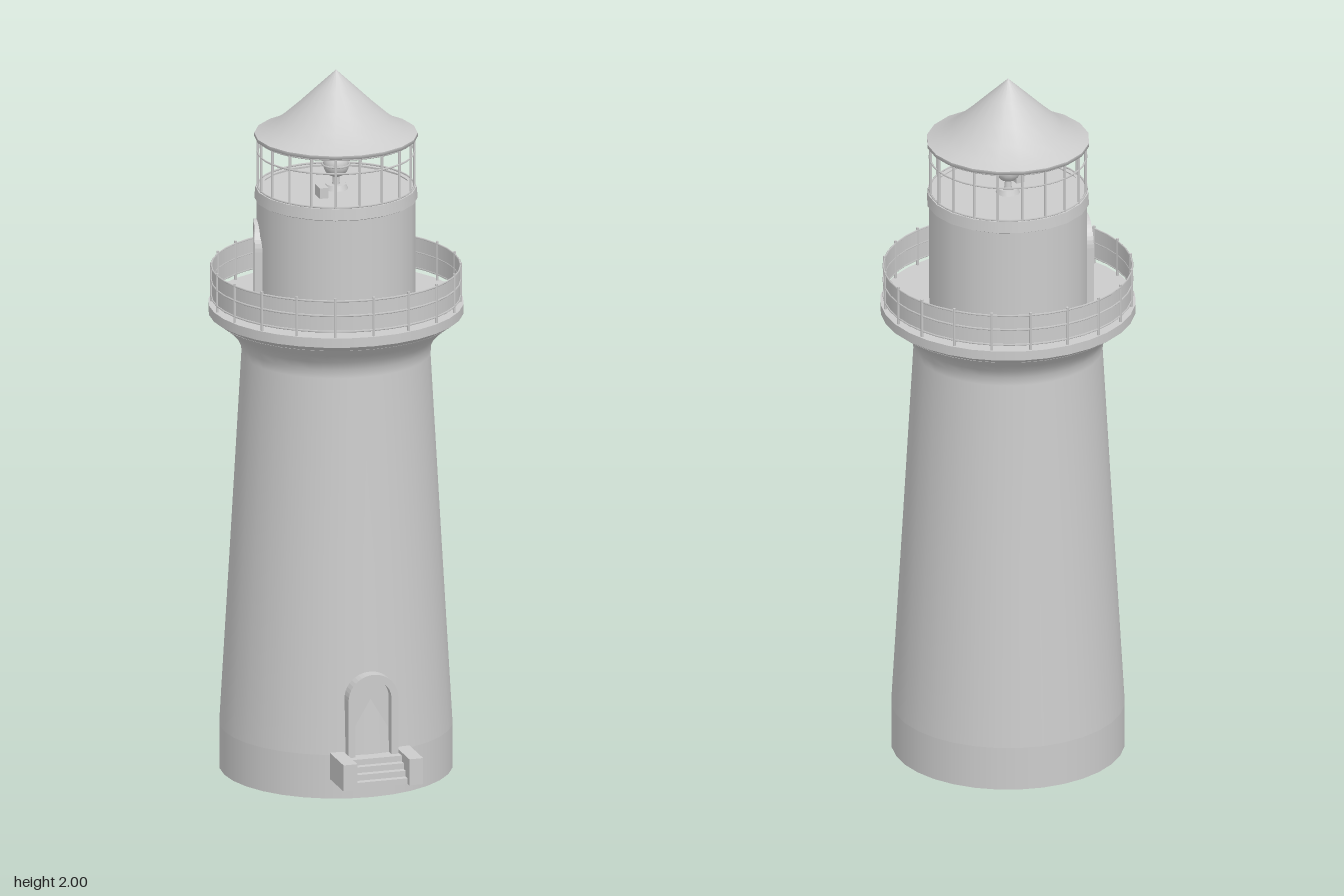
import * as THREE from 'three';

const mat = new THREE.MeshStandardMaterial({ color: 0xcccccc, side: THREE.DoubleSide });
const SIDES = 20;

function add(parent, name, geometry, x = 0, y = 0, z = 0) {
  const mesh = new THREE.Mesh(geometry, mat);
  mesh.name = name;
  mesh.position.set(x, y, z);
  parent.add(mesh);
  return mesh;
}

// Surface of revolution from [radius, height] pairs
const lathe = (points, sides) =>
  new THREE.LatheGeometry(points.map(([r, y]) => new THREE.Vector2(r, y)), sides);

// Horizontal ring bar
function addRing(parent, name, radius, y, thickness) {
  const ring = add(parent, name, new THREE.TorusGeometry(radius, thickness, 4, SIDES * 2), 0, y, 0);
  ring.rotation.x = Math.PI / 2;
}

// Upright bars spaced evenly round the axis
function addBars(parent, name, radius, y0, y1, thickness, count) {
  const geometry = new THREE.CylinderGeometry(thickness, thickness, y1 - y0, 6);
  for (let i = 0; i < count; i++) {
    const a = (i / count) * Math.PI * 2;
    add(parent, name, geometry, Math.sin(a) * radius, (y0 + y1) / 2, Math.cos(a) * radius);
  }
}

// Outline of a round-topped opening standing on y = 0
function archPath(path, halfWidth, spring) {
  path.moveTo(-halfWidth, 0);
  path.lineTo(halfWidth, 0);
  path.lineTo(halfWidth, spring);
  path.absarc(0, spring, halfWidth, 0, Math.PI, false);
  path.lineTo(-halfWidth, 0);
  return path;
}

// Arched door whose frame face lies at z = 0
function buildDoor(name, depth, recess) {
  const door = new THREE.Group();
  door.name = name;
  const frame = archPath(new THREE.Shape(), 0.072, 0.165);
  frame.holes.push(archPath(new THREE.Path(), 0.052, 0.165));
  add(door, 'doorFrame', new THREE.ExtrudeGeometry(frame, { depth, bevelEnabled: false, curveSegments: 10 }), 0, 0, -depth);
  add(door, 'doorPanel', new THREE.ShapeGeometry(archPath(new THREE.Shape(), 0.053, 0.165), 10), 0, 0, -recess);
  return door;
}

export function createModel() {
  const model = new THREE.Group();
  model.name = 'lighthouse';
  const tower = new THREE.Group();
  tower.name = 'tower';
  tower.position.z = -0.04;
  model.add(tower);

  // Open plinth, tapering shaft and flared top
  add(tower, 'plinth', lathe([[0.322, 0], [0.322, 0.125]], 32));
  const floor = add(tower, 'plinthFloor', new THREE.CircleGeometry(0.32, 32), 0, 0.12, 0);
  floor.rotation.x = Math.PI / 2;
  add(tower, 'shaft', lathe([[0.322, 0.125], [0.291, 0.66], [0.261, 1.19], [0.263, 1.215],
    [0.275, 1.24], [0.295, 1.262], [0.318, 1.28], [0.33, 1.29]], 32));

  // Gallery slab
  add(tower, 'galleryUnderside', lathe([[0.328, 1.29], [0.352, 1.306]], 32));
  add(tower, 'galleryEdge', lathe([[0.352, 1.306], [0.352, 1.333]], 32));
  add(tower, 'galleryDeck', lathe([[0.352, 1.333], [0.2, 1.333]], 32));

  // Gallery railing
  const railing = new THREE.Group();
  railing.name = 'railing';
  tower.add(railing);
  addBars(railing, 'railingPost', 0.343, 1.333, 1.445, 0.004, SIDES);
  add(railing, 'railingPanel', lathe([[0.342, 1.35], [0.342, 1.435]], SIDES * 2));
  for (const y of [1.35, 1.395, 1.437]) addRing(railing, 'rail', 0.343, y, 0.003);

  // Watch room below the lantern
  add(tower, 'watchRoom', lathe([[0.219, 1.333], [0.219, 1.63]], SIDES));
  add(tower, 'watchRoomBand', lathe([[0.219, 1.63], [0.225, 1.633]], SIDES));
  add(tower, 'watchRoomRim', lathe([[0.225, 1.633], [0.222, 1.665]], SIDES));
  add(tower, 'sill', lathe([[0.222, 1.665], [0.205, 1.665]], SIDES));
  add(tower, 'lanternFloor', lathe([[0.21, 1.658], [0, 1.658]], SIDES));

  // Lantern glazing bars
  const lantern = new THREE.Group();
  lantern.name = 'lantern';
  tower.add(lantern);
  addBars(lantern, 'glazingBar', 0.216, 1.66, 1.81, 0.0035, SIDES);
  for (const y of [1.668, 1.765, 1.805]) addRing(lantern, 'glazingRing', 0.216, y, 0.003);

  // Lamp on its stand, with a hatch beside it
  add(lantern, 'lamp', new THREE.SphereGeometry(0.036, 14, 10), 0, 1.728, 0);
  addRing(lantern, 'lampBand', 0.037, 1.728, 0.003);
  add(lantern, 'lampStem', new THREE.CylinderGeometry(0.008, 0.012, 0.04, 10), 0, 1.68, 0);
  add(lantern, 'lampBase', new THREE.CylinderGeometry(0.028, 0.034, 0.014, 12), 0, 1.665, 0);
  add(lantern, 'hatch', new THREE.BoxGeometry(0.025, 0.03, 0.045), -0.06, 1.673, 0.06);

  // Roof with a curved sweep to the point
  add(tower, 'eaveUnderside', lathe([[0, 1.812], [0.215, 1.806]], SIDES));
  add(tower, 'eave', lathe([[0.215, 1.806], [0.225, 1.808], [0.225, 1.818]], SIDES));
  add(tower, 'roof', lathe([[0.225, 1.818], [0.19, 1.833], [0.15, 1.86], [0.105, 1.9],
    [0.055, 1.948], [0, 2]], SIDES));

  // Entrance door and gallery door
  const entrance = buildDoor('entranceDoor', 0.06, 0.027);
  entrance.position.set(0, 0.12, 0.3);
  model.add(entrance);
  const upper = buildDoor('galleryDoor', 0.05, 0.007);
  const angle = Math.atan2(-0.96, -0.27);
  upper.rotation.y = angle;
  upper.position.set(Math.sin(angle) * 0.226, 1.333, Math.cos(angle) * 0.226);
  tower.add(upper);

  // Entrance steps between two cheek blocks
  const steps = new THREE.Group();
  steps.name = 'entranceSteps';
  model.add(steps);
  for (const side of [-1, 1])
    add(steps, 'stepCheek', new THREE.BoxGeometry(0.04, 0.075, 0.125), side * 0.095, 0.0955, 0.3275);
  for (let i = 0; i < 4; i++) {
    const front = 0.375 - i * 0.018;
    add(steps, 'step', new THREE.BoxGeometry(0.15, 0.0165, front - 0.26), 0, 0.066 + i * 0.0165, (front + 0.26) / 2);
  }
  return model;
}
